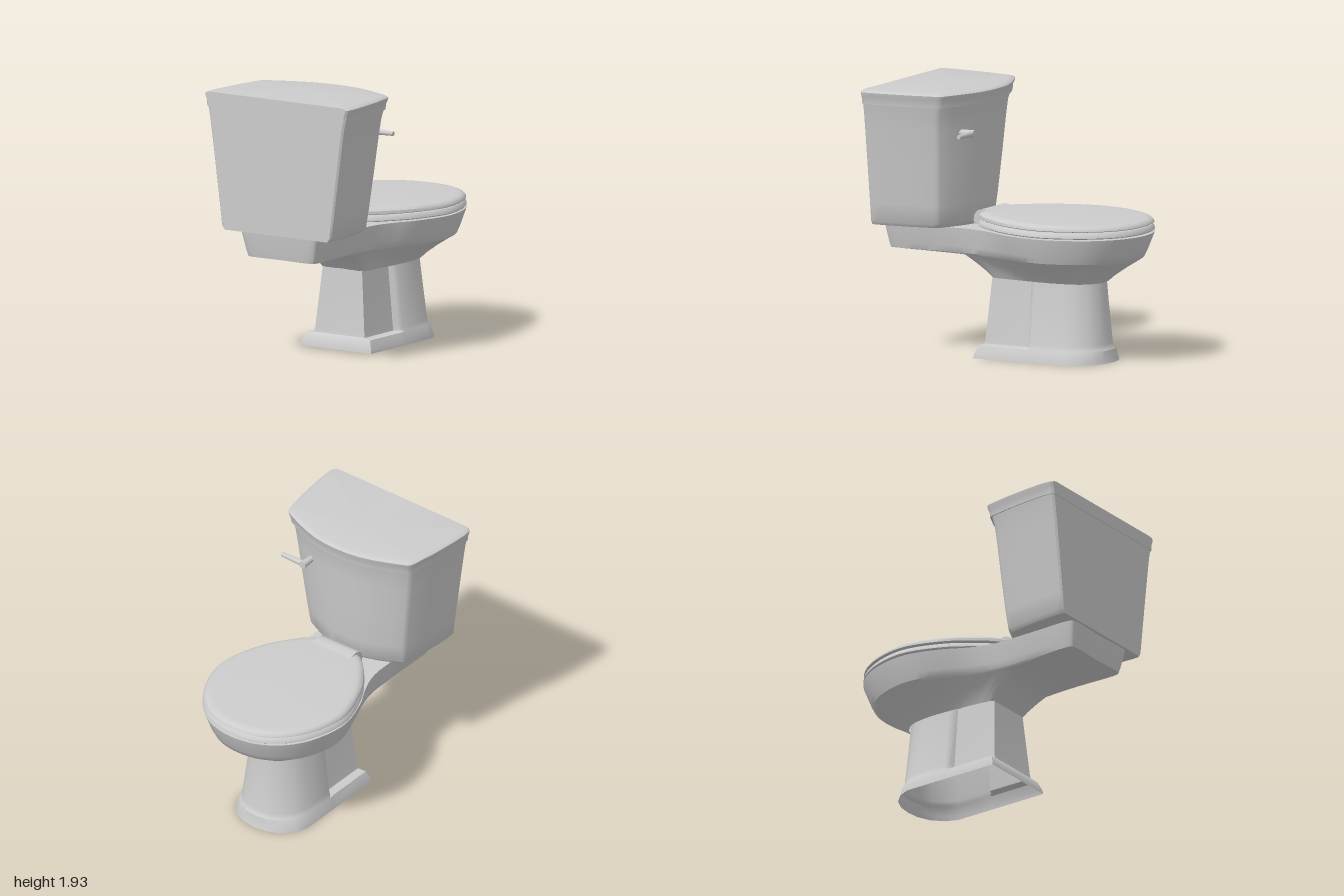
import * as THREE from 'three';
import { toCreasedNormals } from 'three/addons/utils/BufferGeometryUtils.js';

// Mirror a half outline (front centre to back centre) into a closed [x, z] loop
function mirror(half) {
  return half.concat(half.slice(1, -1).reverse().map(([x, z]) => [x, -z]));
}

// Round a loop with a closed spline, keeping the point count equal between sections
function smooth(loop, div = 5) {
  const curve = new THREE.CatmullRomCurve3(loop.map(([x, z]) => new THREE.Vector3(x, 0, z)), true, 'centripetal');
  return curve.getPoints(loop.length * div).slice(0, -1).map((p) => [p.x, p.z]);
}

// Skin a stack of { y, loop } sections, bottom to top; y may be a function of x
function loft(sections, { bottom = true, top = true, crease = 0.6 } = {}) {
  const n = sections[0].loop.length, pos = [], idx = [];
  sections.forEach(({ y, loop }) => loop.forEach(([x, z]) => pos.push(x, typeof y === 'function' ? y(x) : y, z)));
  for (let s = 0; s < sections.length - 1; s++) {
    for (let i = 0; i < n; i++) {
      const a = s * n + i, b = s * n + (i + 1) % n;
      idx.push(a, a + n, b, b, a + n, b + n);
    }
  }
  const cap = (s, up) => {
    const c = pos.length / 3, mid = [0, 0, 0];
    for (let i = 0; i < n; i++) for (let k = 0; k < 3; k++) mid[k] += pos[(s * n + i) * 3 + k] / n;
    pos.push(mid[0], mid[1], 0);
    for (let i = 0; i < n; i++) {
      const a = s * n + i, b = s * n + (i + 1) % n;
      if (up) idx.push(c, b, a); else idx.push(c, a, b);
    }
  };
  if (bottom) cap(0, false);
  if (top) cap(sections.length - 1, true);
  const g = new THREE.BufferGeometry();
  g.setAttribute('position', new THREE.Float32BufferAttribute(pos, 3));
  g.setIndex(idx);
  return toCreasedNormals(g, crease);
}

const lerpLoop = (a, b, t) => a.map(([x, z], i) => [x + (b[i][0] - x) * t, z + (b[i][1] - z) * t]);

export function createModel() {
  const group = new THREE.Group();
  const porcelain = new THREE.MeshStandardMaterial({ color: 0xcccccc, side: THREE.DoubleSide });
  porcelain.name = 'porcelain';
  const add = (name, geometry) => {
    const mesh = new THREE.Mesh(geometry, porcelain);
    mesh.name = name;
    group.add(mesh);
    return mesh;
  };

  // Pedestal: flared plinth, wide front column and narrower rear column, open below
  const foot = (front, back, w, rear, step) => mirror([
    [front, 0], [front - 0.01, w * 0.32], [front - 0.05, w * 0.62], [front - 0.13, w * 0.88], [front - 0.22, w],
    [0.2, w], [0.175, w - step * 0.3], [0.155, rear], [back, rear], [back, 0],
  ]);
  add('pedestal', loft([
    { y: 0, loop: foot(0.72, -0.25, 0.31, 0.31, 0) },
    { y: 0.03, loop: foot(0.71, -0.245, 0.305, 0.305, 0) },
    { y: 0.09, loop: foot(0.7, -0.22, 0.285, 0.28, 0) },
    { y: 0.1, loop: foot(0.69, -0.205, 0.28, 0.22, 0.05) },
    { y: 0.13, loop: foot(0.68, -0.2, 0.27, 0.215, 0.05) },
    { y: 0.6, loop: foot(0.645, -0.165, 0.215, 0.17, 0.05) },
  ], { bottom: false }));

  // Bowl and the deck that carries the tank
  const rim = smooth(mirror([[0.99, 0], [0.93, 0.25], [0.74, 0.45], [0.4, 0.55], [0.1, 0.48], [-0.08, 0.39],
    [-0.25, 0.335], [-0.6, 0.33], [-0.95, 0.33], [-0.97, 0.31], [-0.97, 0]]));
  const shelf = smooth(mirror([[0.91, 0], [0.86, 0.22], [0.69, 0.4], [0.38, 0.49], [0.08, 0.41], [-0.1, 0.34],
    [-0.26, 0.3], [-0.6, 0.29], [-0.92, 0.29], [-0.94, 0.27], [-0.94, 0]]));
  const under = smooth(mirror([[0.89, 0], [0.84, 0.21], [0.67, 0.38], [0.37, 0.465], [0.08, 0.39], [-0.08, 0.33],
    [-0.22, 0.29], [-0.31, 0.27], [-0.36, 0.24], [-0.38, 0.2], [-0.38, 0]]));
  const neck = smooth(mirror([[0.655, 0], [0.63, 0.11], [0.55, 0.19], [0.4, 0.225], [0.2, 0.225], [0.08, 0.215],
    [-0.03, 0.205], [-0.11, 0.195], [-0.15, 0.185], [-0.165, 0.16], [-0.165, 0]]));
  add('bowl', loft([
    { y: 0.575, loop: neck },
    { y: 0.62, loop: lerpLoop(neck, under, 0.22) },
    { y: 0.68, loop: lerpLoop(neck, under, 0.59) },
    { y: 0.74, loop: under },
    { y: 0.755, loop: shelf },
    { y: 0.8, loop: lerpLoop(shelf, rim, 0.3) },
    { y: 0.925, loop: lerpLoop(shelf, rim, 0.95) },
    { y: 0.938, loop: rim },
  ], { bottom: false }));

  // Seat and its cover
  const seatHalf = [[0.985, 0], [0.93, 0.25], [0.74, 0.45], [0.4, 0.555], [0.08, 0.47], [-0.1, 0.36],
    [-0.22, 0.26], [-0.28, 0.17], [-0.29, 0]];
  const seatBase = smooth(mirror(seatHalf));
  const inset = (d) => seatBase.map(([x, z]) => [0.36 + (x - 0.36) * (1 - d / 0.6), z * (1 - d / 0.55)]);
  add('seat', loft([
    { y: 0.948, loop: inset(0.008) }, { y: 0.955, loop: inset(0) },
    { y: 0.975, loop: inset(0.004) }, { y: 0.99, loop: inset(0.018) },
  ]));
  const slope = (h) => (x) => h - (x - 0.36) * 0.012;
  add('seatCover', loft([
    { y: 0.998, loop: inset(0.012) }, { y: 1.003, loop: inset(0.004) }, { y: slope(1.018), loop: inset(0.006) },
    { y: slope(1.034), loop: inset(0.02) }, { y: slope(1.042), loop: inset(0.04) }, { y: slope(1.044), loop: inset(0.07) },
  ]));

  // Rolled hinge at the back of the cover
  const hingeShape = new THREE.Shape([[-0.31, 0.95], [-0.27, 0.95], [-0.26, 0.985], [-0.12, 1.0], [-0.12, 1.045],
    [-0.2, 1.053], [-0.25, 1.062], [-0.29, 1.05], [-0.315, 1.02], [-0.322, 0.98]].map((p) => new THREE.Vector2(...p)));
  const hingeGeo = new THREE.ExtrudeGeometry(hingeShape, { depth: 0.34, bevelEnabled: false });
  hingeGeo.translate(0, 0, -0.17);
  add('hinge', toCreasedNormals(hingeGeo, 0.7));

  // Tank and lid share one bow-fronted outline
  const bow = mirror([[-0.22, 0], [-0.225, 0.1], [-0.24, 0.2], [-0.272, 0.31], [-0.32, 0.43], [-0.37, 0.54],
    [-0.385, 0.556], [-0.41, 0.566], [-0.6, 0.6], [-0.8, 0.622], [-0.92, 0.63], [-0.985, 0.625], [-1, 0.61], [-1, 0]]);
  const tankLoop = (kx, kz) => bow.map(([x, z]) => [-0.995 + (x + 1) * kx, z * kz]);
  add('tank', loft([
    { y: 0.938, loop: tankLoop(0.81, 0.735) },
    { y: 0.965, loop: tankLoop(0.84, 0.765) },
    { y: 1.1, loop: tankLoop(0.862, 0.793) },
    { y: 1.4, loop: tankLoop(0.893, 0.857) },
    { y: 1.65, loop: tankLoop(0.913, 0.912) },
    { y: 1.76, loop: tankLoop(0.926, 0.938) },
    { y: 1.84, loop: tankLoop(0.95, 0.965) },
  ]));
  const lidLoop = (d) => bow.map(([x, z]) => [-1 + (x + 1) * (1 - d / 0.78), z * (1 - d / 0.63)]);
  add('tankLid', loft([
    { y: 1.828, loop: lidLoop(0.018) }, { y: 1.87, loop: lidLoop(0.014) }, { y: 1.895, loop: lidLoop(0.004) },
    { y: 1.915, loop: lidLoop(0) }, { y: 1.925, loop: lidLoop(0.012) }, { y: 1.93, loop: lidLoop(0.04) },
  ]));

  // Flush lever: round pivot and a slim arm
  const pivot = new THREE.CylinderGeometry(0.028, 0.022, 0.12, 20);
  pivot.rotateZ(-Math.PI / 2);
  add('leverPivot', pivot).position.set(-0.295, 1.627, 0.31);
  const arm = new THREE.CylinderGeometry(0.016, 0.024, 0.2, 12);
  arm.rotateX(Math.PI / 2);
  add('leverArm', arm).position.set(-0.257, 1.626, 0.41);

  return group;
}
